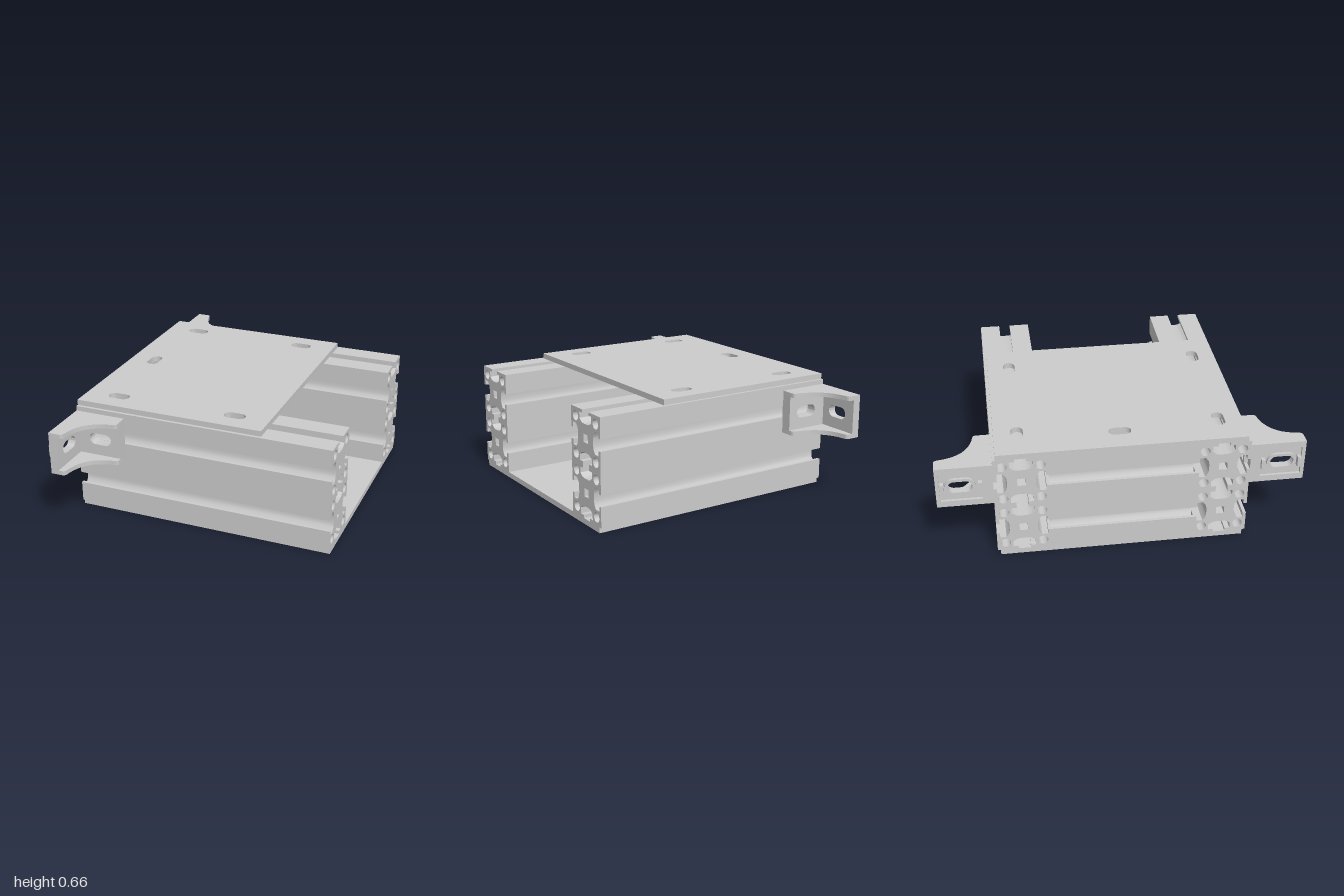
import * as THREE from 'three';
import { toCreasedNormals } from 'three/addons/utils/BufferGeometryUtils.js';

const material = new THREE.MeshStandardMaterial({ color: 0xcccccc });

function part(name, geometry) {
  const mesh = new THREE.Mesh(geometry, material);
  mesh.name = name;
  return mesh;
}

function extrude(shape, depth) {
  const geo = new THREE.ExtrudeGeometry(shape, { depth, bevelEnabled: false, curveSegments: 10 });
  return toCreasedNormals(geo, 0.6);
}

const polygon = (pts) => new THREE.Shape(pts.map(([x, y]) => new THREE.Vector2(x, y)));
const rect = (x0, y0, x1, y1) => polygon([[x0, y0], [x1, y0], [x1, y1], [x0, y1]]);

// Rounded slot outline; half is the half length including the round ends
function slot(cx, cy, half, r, alongY = false) {
  const s = new THREE.Shape();
  const e = half - r;
  if (alongY) {
    s.absarc(cx, cy + e, r, 0, Math.PI);
    s.absarc(cx, cy - e, r, Math.PI, 2 * Math.PI);
  } else {
    s.absarc(cx + e, cy, r, -Math.PI / 2, Math.PI / 2);
    s.absarc(cx - e, cy, r, Math.PI / 2, Math.PI * 1.5);
  }
  s.closePath();
  return s;
}

// Half of a T-slot: [along the face, distance from the cell centre]
const HALF_SLOT = [[0.033, 0.15], [0.033, 0.132], [0.062, 0.132], [0.062, 0.098], [0.04, 0.082], [0.02, 0.078]];

// Two-cell T-slot section, 0.3 wide and 0.6 high
function railSection() {
  const tSlot = [...HALF_SLOT.map(([a, d]) => [-a, d]), ...[...HALF_SLOT].reverse()];
  const place = (cy, nx, ny) => tSlot.map(([a, d]) => [nx * d - ny * a, cy + ny * d + nx * a]);
  const shape = polygon([
    ...place(-0.15, 0, -1), [0.15, -0.3],
    ...place(-0.15, 1, 0), ...place(0.15, 1, 0), [0.15, 0.3],
    ...place(0.15, 0, 1), [-0.15, 0.3],
    ...place(0.15, -1, 0), ...place(-0.15, -1, 0), [-0.15, -0.3],
  ]);
  // closed hollow between the cells
  shape.holes.push(polygon([...place(0.15, 0, -1), ...place(-0.15, 0, 1)]));
  // square core and round corner bores of each cell
  for (const cy of [-0.15, 0.15]) {
    shape.holes.push(rect(-0.023, cy - 0.023, 0.023, cy + 0.023));
    for (const sx of [-1, 1]) for (const sy of [-1, 1]) {
      shape.holes.push(new THREE.Path().absarc(sx * 0.103, cy + sy * 0.103, 0.028, 0, Math.PI * 2));
    }
  }
  return shape;
}

// Flat plate with slots, top face at y = top
function plate(name, x1, zHalf, top, slotXs) {
  const shape = rect(-0.74, -zHalf, x1, zHalf);
  for (const x of slotXs) for (const z of [-0.552, 0.552]) shape.holes.push(slot(x, z, 0.062, 0.033));
  shape.holes.push(slot(-0.593, 0, 0.062, 0.033, true));
  const mesh = part(name, extrude(shape, 0.0315).rotateX(Math.PI / 2));
  mesh.position.y = top;
  return mesh;
}

// Bracket flange: panel with raised rim and boss on its mounting face, plus locating pegs
function flange(name, length, thickness) {
  const g = new THREE.Group();
  g.name = name;
  const u = 0.175, v = 0.0985, step = 0.015;

  const panel = rect(0, -v, length, v);
  panel.holes.push(slot(u, 0, 0.066, 0.034));
  const panelMesh = part('flangePanel', extrude(panel, thickness - step));
  panelMesh.position.z = step;

  const rim = rect(0, -v, length, v);
  rim.holes.push(rect(0.035, -v + 0.012, length - 0.02, v - 0.012));

  const boss = slot(u, 0, 0.082, 0.05);
  boss.holes.push(slot(u, 0, 0.066, 0.034));
  g.add(panelMesh, part('flangeRim', extrude(rim, step)), part('slotBoss', extrude(boss, step)));

  for (const x of [0.068, 0.27]) {
    const peg = part('locatingPeg', new THREE.BoxGeometry(0.02, 0.06, 0.03));
    peg.position.set(x, 0, -0.005);
    g.add(peg);
  }
  return g;
}

// Corner bracket with its inner corner edge at the origin
function bracket(name) {
  const g = new THREE.Group();
  g.name = name;
  g.add(flange('railFlange', 0.295, 0.06));

  const end = flange('endFlange', 0.305, 0.045);
  end.quaternion.setFromAxisAngle(new THREE.Vector3(1, 0, 1).normalize(), Math.PI);
  g.add(end);

  // concave side webs
  const web = new THREE.Shape();
  web.moveTo(0, 0);
  web.lineTo(0.295, 0);
  web.lineTo(0.295, 0.075);
  web.quadraticCurveTo(0.295, 0.092, 0.272, 0.095);
  web.quadraticCurveTo(0.105, 0.12, 0.086, 0.28);
  web.quadraticCurveTo(0.083, 0.305, 0.065, 0.305);
  web.lineTo(0, 0.305);
  web.closePath();
  for (const y of [-0.0975, 0.1225]) {
    const mesh = part('sideWeb', extrude(web, 0.025).rotateX(Math.PI / 2));
    mesh.position.y = y;
    g.add(mesh);
  }
  return g;
}

export function createModel() {
  const model = new THREE.Group();
  model.name = 'railFrame';
  const section = railSection();

  // side rails run along x
  for (const s of [-1, 1]) {
    const rail = part(s > 0 ? 'frontRail' : 'backRail', extrude(section, 1.495).rotateY(Math.PI / 2));
    rail.position.set(-0.74, 0.3315, s * 0.547);
    model.add(rail);
  }

  // cross rail between them
  const cross = part('crossRail', extrude(section, 0.794));
  cross.position.set(-0.59, 0.3315, -0.397);
  model.add(cross);

  model.add(plate('topPlate', 0.355, 0.68, 0.663, [-0.545, 0.155]));
  model.add(plate('bottomPlate', 0.755, 0.68, 0.0315, [-0.545, 0.545]));

  // the bracket is symmetric in y, so a half turn about x mirrors it
  for (const s of [-1, 1]) {
    const b = bracket(s > 0 ? 'frontBracket' : 'backBracket');
    b.position.set(-0.74, 0.4815, s * 0.697);
    if (s < 0) b.rotation.x = Math.PI;
    model.add(b);
  }
  return model;
}
